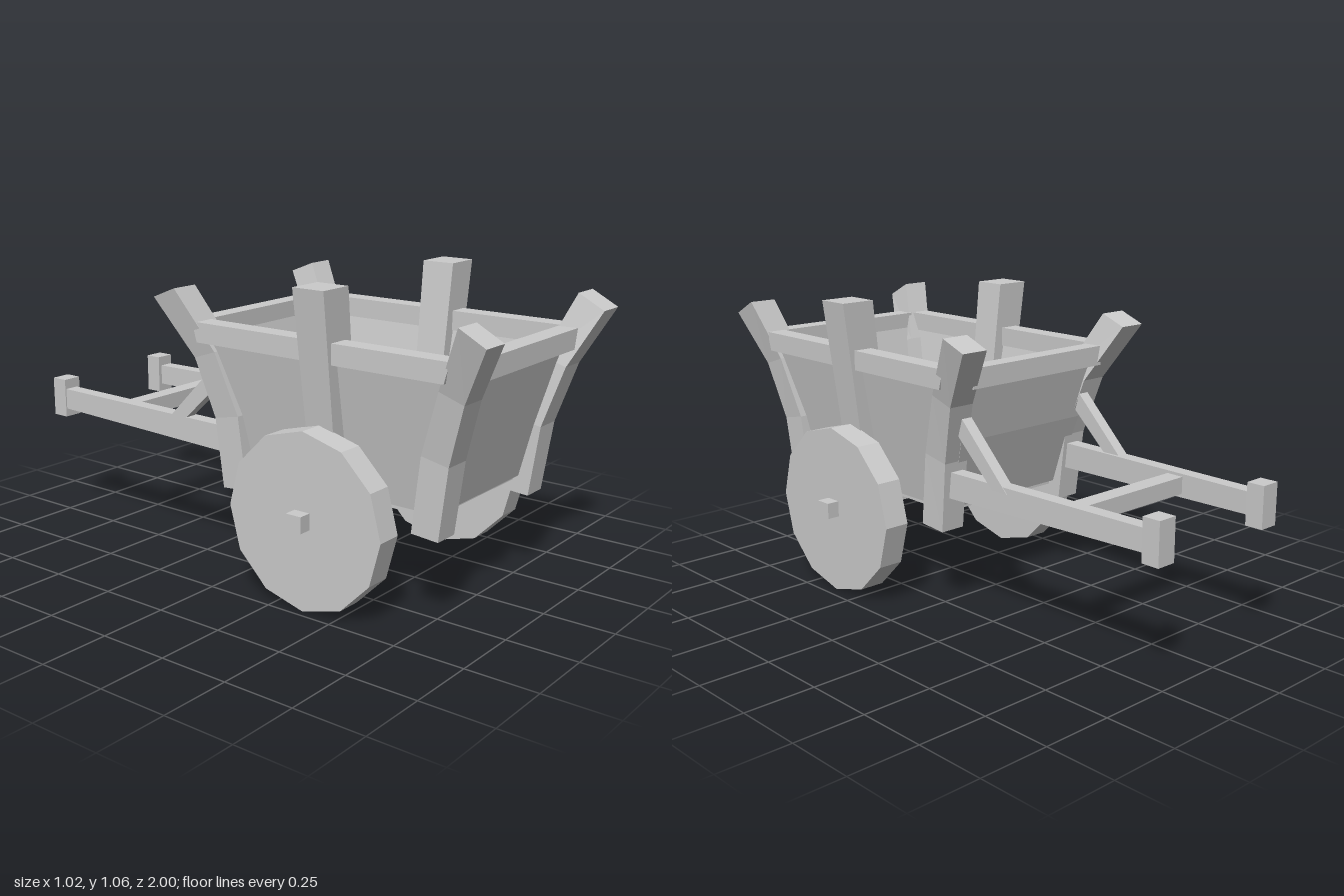
import * as THREE from 'three';

const material = new THREE.MeshStandardMaterial({ color: 0xcccccc, flatShading: true });

// Solid skinned through four-cornered rings, capped at both ends
function loft(name, rings) {
  const tris = [];
  const quad = (a, b, c, d) => tris.push([a, b, c], [a, c, d]);
  for (let i = 0; i < rings.length - 1; i++) {
    for (let j = 0; j < 4; j++) {
      const k = (j + 1) % 4;
      quad(rings[i][j], rings[i][k], rings[i + 1][k], rings[i + 1][j]);
    }
  }
  quad(...[...rings[0]].reverse());
  quad(...rings[rings.length - 1]);

  // Turn the faces outward whichever way the rings run (mirrored parts too)
  const v = (p) => new THREE.Vector3(...p);
  const o = v(rings[0][0]);
  let volume = 0;
  for (const [a, b, c] of tris) {
    volume += v(a).sub(o).dot(v(b).sub(o).cross(v(c).sub(o)));
  }
  const points = tris.flatMap(([a, b, c]) => (volume < 0 ? [a, c, b] : [a, b, c])).flat();
  const geometry = new THREE.BufferGeometry();
  geometry.setAttribute('position', new THREE.Float32BufferAttribute(points, 3));
  geometry.computeVertexNormals();
  const mesh = new THREE.Mesh(geometry, material);
  mesh.name = name;
  return mesh;
}

// Box given by its limits
function block(name, x0, x1, y0, y1, z0, z1) {
  const mesh = new THREE.Mesh(new THREE.BoxGeometry(x1 - x0, y1 - y0, z1 - z0), material);
  mesh.position.set((x0 + x1) / 2, (y0 + y1) / 2, (z0 + z1) / 2);
  mesh.name = name;
  return mesh;
}

// Ring lying flat at height y
const flat = (x0, x1, y, z0, z1) => [[x0, y, z0], [x1, y, z0], [x1, y, z1], [x0, y, z1]];
// Ring standing upright at depth z
const upright = (x0, x1, y0, y1, z) => [[x0, y0, z], [x1, y0, z], [x1, y1, z], [x0, y1, z]];
// Ring spanning x between an outer and an inner (z, y) point
const span = (x0, x1, [zo, yo], [zi, yi]) => [[x0, yo, zo], [x1, yo, zo], [x1, yi, zi], [x0, yi, zi]];

export function createModel() {
  const model = new THREE.Group();
  model.name = 'handcart';
  const cart = new THREE.Group();
  cart.name = 'cart';
  cart.position.x = -0.006;
  model.add(cart);

  // Box of the cart: floor, end panels and end rails
  cart.add(
    block('floor', -0.265, 0.265, 0.348, 0.368, -0.03, 0.74),
    loft('frontPanel', [flat(-0.26, 0.26, 0.365, 0.73, 0.76), flat(-0.33, 0.33, 0.83, 0.85, 0.88)]),
    loft('backPanel', [
      flat(-0.26, 0.26, 0.365, -0.05, -0.02),
      flat(-0.29, 0.29, 0.62, -0.13, -0.1),
      flat(-0.33, 0.33, 0.83, -0.18, -0.15),
    ]),
    block('frontRail', -0.31, 0.31, 0.82, 0.89, 0.85, 0.92),
    block('backRail', -0.31, 0.31, 0.82, 0.89, -0.215, -0.15),
    block('axle', -0.512, 0.512, 0.288, 0.345, 0.34, 0.4),
    block('handleCrossbar', -0.26, 0.26, 0.445, 0.505, -0.655, -0.59),
  );

  // Bent corner posts: x limits and the outer and inner (z, y) points per level
  const postX = [[0.24, 0.335], [0.243, 0.343], [0.273, 0.373], [0.328, 0.432]];
  const frontPost = [
    [[0.8, 0.3], [0.7, 0.308]], [[0.835, 0.55], [0.735, 0.57]],
    [[0.9, 0.76], [0.81, 0.79]], [[1, 0.952], [0.905, 1.003]],
  ];
  const backPost = [
    [[-0.08, 0.3], [0.025, 0.308]], [[-0.107, 0.55], [-0.005, 0.57]],
    [[-0.17, 0.76], [-0.08, 0.79]], [[-0.3, 0.965], [-0.205, 1.003]],
  ];

  for (const s of [1, -1]) {
    const side = new THREE.Group();
    side.name = s > 0 ? 'leftSide' : 'rightSide';
    cart.add(side);

    for (const [name, path] of [['frontCornerPost', frontPost], ['backCornerPost', backPost]]) {
      side.add(loft(name, path.map(([o, i], n) => span(s * postX[n][0], s * postX[n][1], o, i))));
    }
    side.add(
      loft('sidePost', [
        flat(s * 0.22, s * 0.33, 0.252, 0.32, 0.42),
        flat(s * 0.31, s * 0.44, 1.06, 0.31, 0.432),
      ]),
      loft('sidePanel', [
        flat(s * 0.245, s * 0.28, 0.365, -0.02, 0.735),
        flat(s * 0.33, s * 0.365, 0.83, -0.15, 0.86),
      ]),
      loft('sideRail', [
        flat(s * 0.322, s * 0.395, 0.82, -0.14, 0.84),
        flat(s * 0.322, s * 0.395, 0.89, -0.16, 0.86),
      ]),
      // Handle with its grip and brace
      loft('handle', [
        upright(s * 0.262, s * 0.315, 0.42, 0.515, -0.03),
        upright(s * 0.237, s * 0.29, 0.437, 0.515, -0.94),
      ]),
      loft('handleGrip', [
        upright(s * 0.222, s * 0.295, 0.405, 0.552, -0.935),
        upright(s * 0.222, s * 0.295, 0.405, 0.552, -1),
      ]),
      loft('handleBrace', [
        span(s * 0.265, s * 0.308, [-0.13, 0.735], [-0.09, 0.69]),
        span(s * 0.265, s * 0.308, [-0.37, 0.495], [-0.3, 0.495]),
      ]),
    );

    // Twelve-sided solid wheel
    const wheel = new THREE.Mesh(new THREE.CylinderGeometry(0.306, 0.306, 0.094, 12), material);
    wheel.name = 'wheel';
    wheel.rotation.z = Math.PI / 2;
    wheel.position.set(s * 0.419, 0.306, 0.37);
    side.add(wheel);
  }
  return model;
}
